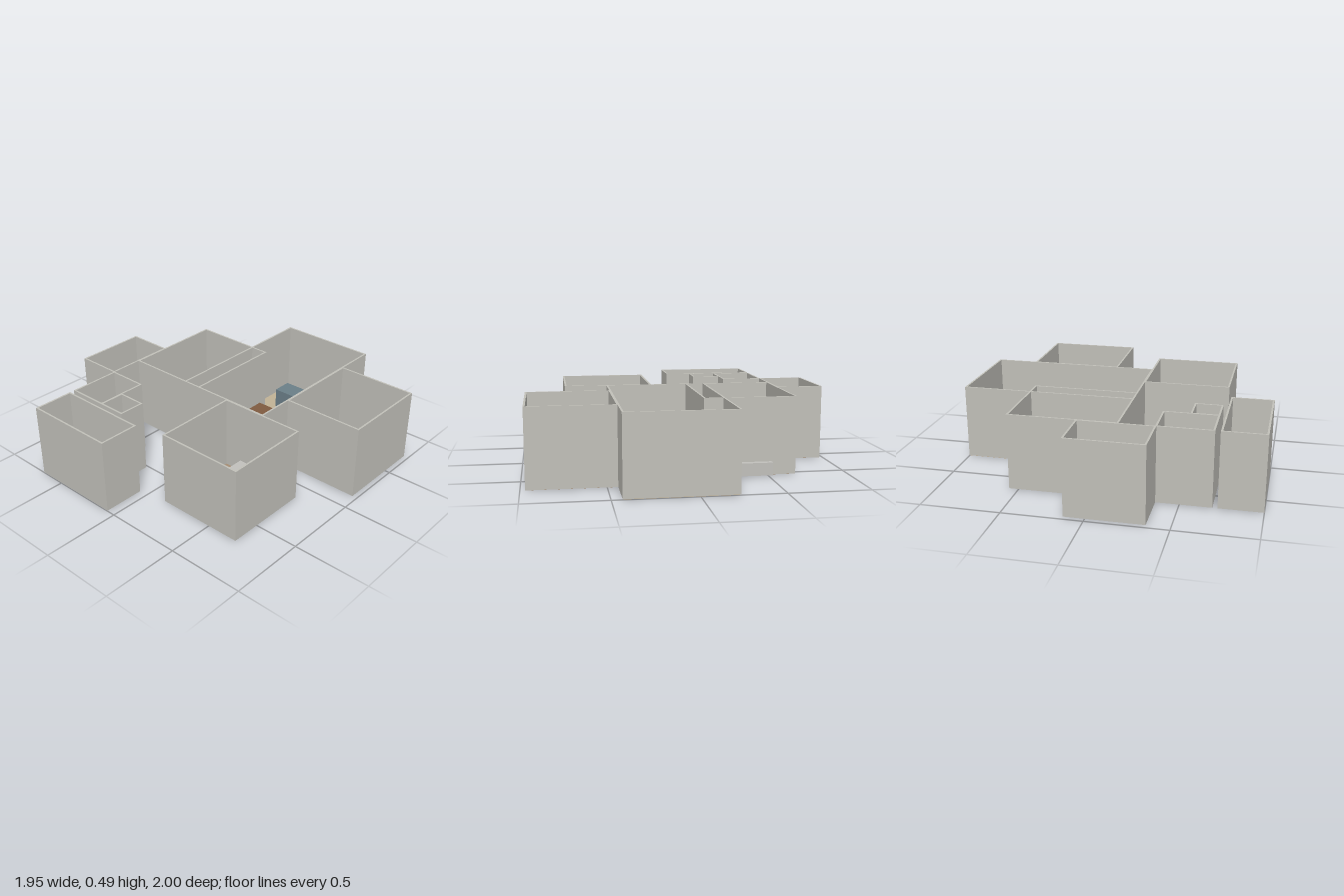
import * as THREE from 'three';

const H = 0.488; // wall top
const T = 0.012; // wall thickness

const mat = (name, color) => {
  const m = new THREE.MeshStandardMaterial({ color });
  m.name = name;
  return m;
};

export function createModel() {
  const model = new THREE.Group();
  model.name = 'floorPlan';

  const wall = mat('wallGrey', 0xc1c0b9);
  const brown = mat('floorBrown', 0xa58d74);
  const tan = mat('floorTan', 0xc2b296);
  const linen = mat('bedGrey', 0xc1c0bc);
  const blue = mat('sofaBlue', 0x6b7f88);
  const wood = mat('tableWood', 0x7f5b40);

  // Box given by its limits on each axis
  const box = (parent, name, m, x0, x1, y0, y1, z0, z1) => {
    const mesh = new THREE.Mesh(new THREE.BoxGeometry(x1 - x0, y1 - y0, z1 - z0), m);
    mesh.position.set((x0 + x1) / 2, (y0 + y1) / 2, (z0 + z1) / 2);
    mesh.name = name;
    parent.add(mesh);
  };

  // Open-topped room: thin floor slab and four walls
  const room = (name, floor, x0, x1, z0, z1, lift = 0.002) => {
    const g = new THREE.Group();
    g.name = name;
    const e = T / 2;
    box(g, 'floor', floor, x0 + e, x1 - e, lift, lift + 0.006, z0 + e, z1 - e);
    box(g, 'backWall', wall, x0, x1, 0.004, H, z0, z0 + T);
    box(g, 'frontWall', wall, x0, x1, 0.004, H, z1 - T, z1);
    box(g, 'rightWall', wall, x0, x0 + T, 0.004, H, z0 + T, z1 - T);
    box(g, 'leftWall', wall, x1 - T, x1, 0.004, H, z0 + T, z1 - T);
    model.add(g);
  };

  room('livingRoom', tan, -0.23, 0.437, -1, 0.133, 0);
  room('leftBedroom', brown, 0.43, 0.97, -0.727, -0.12);
  room('rightBedroom', brown, -0.675, -0.098, -0.558, 0.133);
  room('frontBedroom', brown, 0.136, 0.713, 0.127, 0.697);
  room('sideRoom', brown, -0.975, -0.669, -0.128, 0.357);
  room('bathroom', brown, -0.675, -0.407, 0.349, 0.697);
  room('closet', brown, -0.415, -0.222, 0.518, 0.697);
  room('porch', brown, -0.675, -0.056, 0.728, 1);

  // Furniture blocks
  box(model, 'leftBed', linen, 0.56, 0.837, 0.007, 0.087, -0.67, -0.328);
  box(model, 'rightBed', linen, -0.523, -0.228, 0.007, 0.087, -0.597, -0.233);
  box(model, 'frontBed', linen, 0.268, 0.576, 0.007, 0.087, 0.137, 0.502);
  box(model, 'sofa', blue, -0.092, 0.288, 0.005, 0.143, -0.81, -0.675);
  box(model, 'table', wood, -0.055, 0.255, 0.005, 0.145, -0.444, -0.288);

  return model;
}
